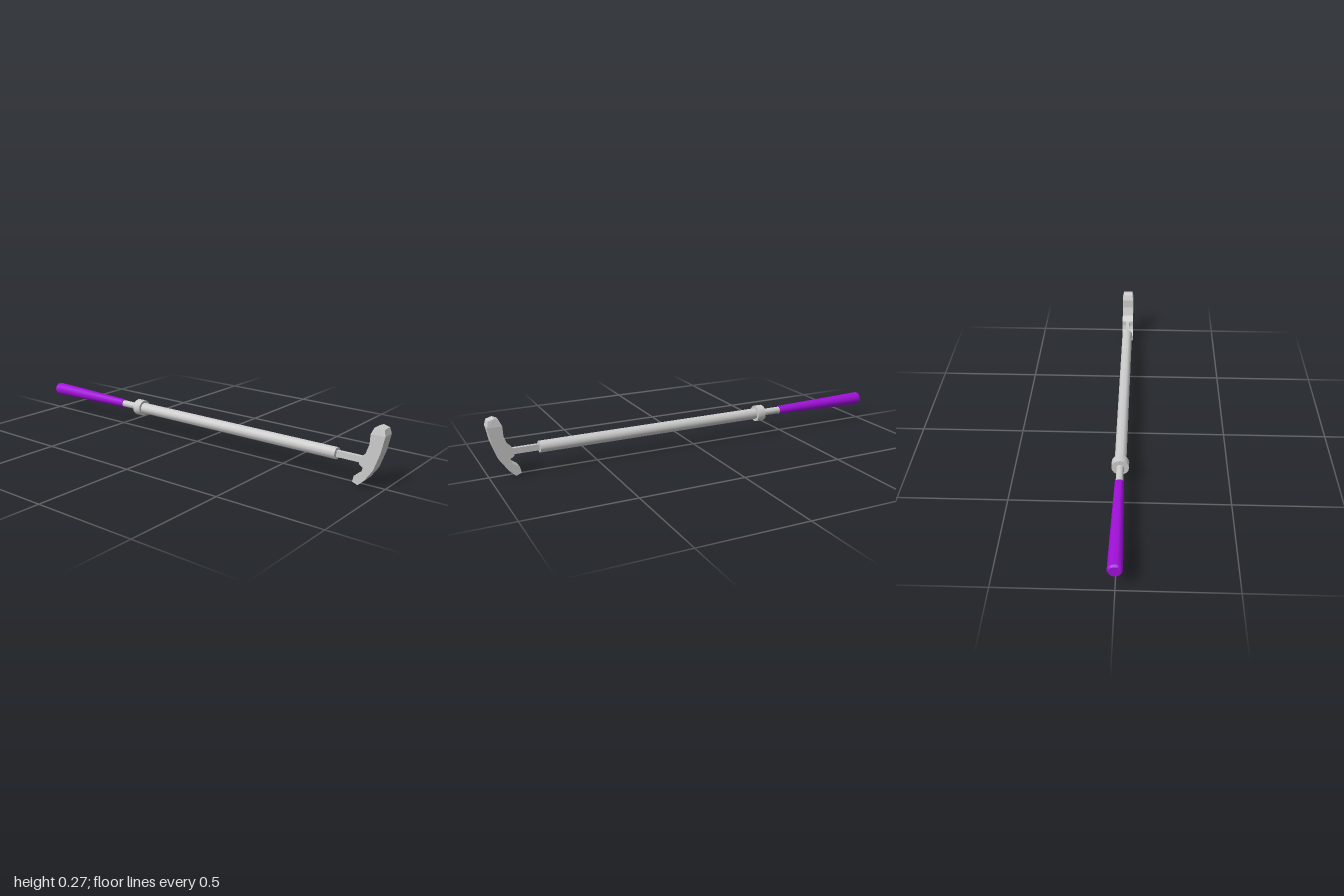
import * as THREE from 'three';
import { toCreasedNormals } from 'three/addons/utils/BufferGeometryUtils.js';

const AXIS_Y = 0.108;

export function createModel() {
  const model = new THREE.Group();
  const grey = new THREE.MeshStandardMaterial({ color: 0xcccccc });
  const flatGrey = new THREE.MeshStandardMaterial({ color: 0xcccccc, flatShading: true });
  const purple = new THREE.MeshStandardMaterial({ color: 0xa010d8 });

  function add(name, geometry, material) {
    const mesh = new THREE.Mesh(geometry, material);
    mesh.name = name;
    model.add(mesh);
  }

  // Turned part along x from [x, radius] pairs, running from -x to +x
  function turned(name, profile, material, sides = 20) {
    const pts = profile.map(([x, r]) => new THREE.Vector2(r, x));
    const geo = new THREE.LatheGeometry(pts, sides);
    geo.rotateZ(-Math.PI / 2);
    geo.translate(0, AXIS_Y, 0);
    add(name, toCreasedNormals(geo, 0.55), material);
  }

  // Tapered grip with a chamfered butt
  turned('grip', [[-1, 0], [-1, 0.026], [-0.99, 0.032], [-0.93, 0.031], [-0.49, 0.021], [-0.49, 0]], purple);
  // Thin rod, collar and main tube
  turned('rod', [[-0.5, 0], [-0.5, 0.017], [-0.38, 0.017], [-0.38, 0]], grey);
  turned('collar', [[-0.39, 0], [-0.39, 0.04], [-0.348, 0.04], [-0.348, 0]], grey, 16);
  turned('shaft', [[-0.36, 0], [-0.36, 0.027], [0.77, 0.027], [0.77, 0]], grey);

  // Flat neck bar joining the shaft and the head
  const neck = new THREE.BoxGeometry(0.15, 0.028, 0.018);
  neck.translate(0.835, AXIS_Y, 0);
  add('neck', neck, flatGrey);

  // Curved head: side outline, narrowed across z towards its upper tip
  const outline = [
    [0.888, 0], [0.917, 0.028], [0.953, 0.08], [0.981, 0.16], [0.997, 0.235],
    [0.99, 0.263], [0.963, 0.271], [0.944, 0.263], [0.932, 0.235], [0.93, 0.19],
    [0.915, 0.147], [0.889, 0.122], [0.889, 0.093], [0.907, 0.082], [0.9, 0.06],
    [0.868, 0.038], [0.862, 0.01],
  ].map(([x, y]) => new THREE.Vector2(x, y));
  const head = new THREE.ExtrudeGeometry(new THREE.Shape(outline), { depth: 0.06, bevelEnabled: false });
  head.translate(0, 0, -0.03);
  const pos = head.attributes.position;
  for (let i = 0; i < pos.count; i++) {
    const t = Math.min(1, Math.max(0, (pos.getY(i) - 0.235) / 0.03));
    pos.setZ(i, pos.getZ(i) * (1 - 0.2 * t));
  }
  head.computeVertexNormals();
  add('head', head, flatGrey);

  return model;
}
